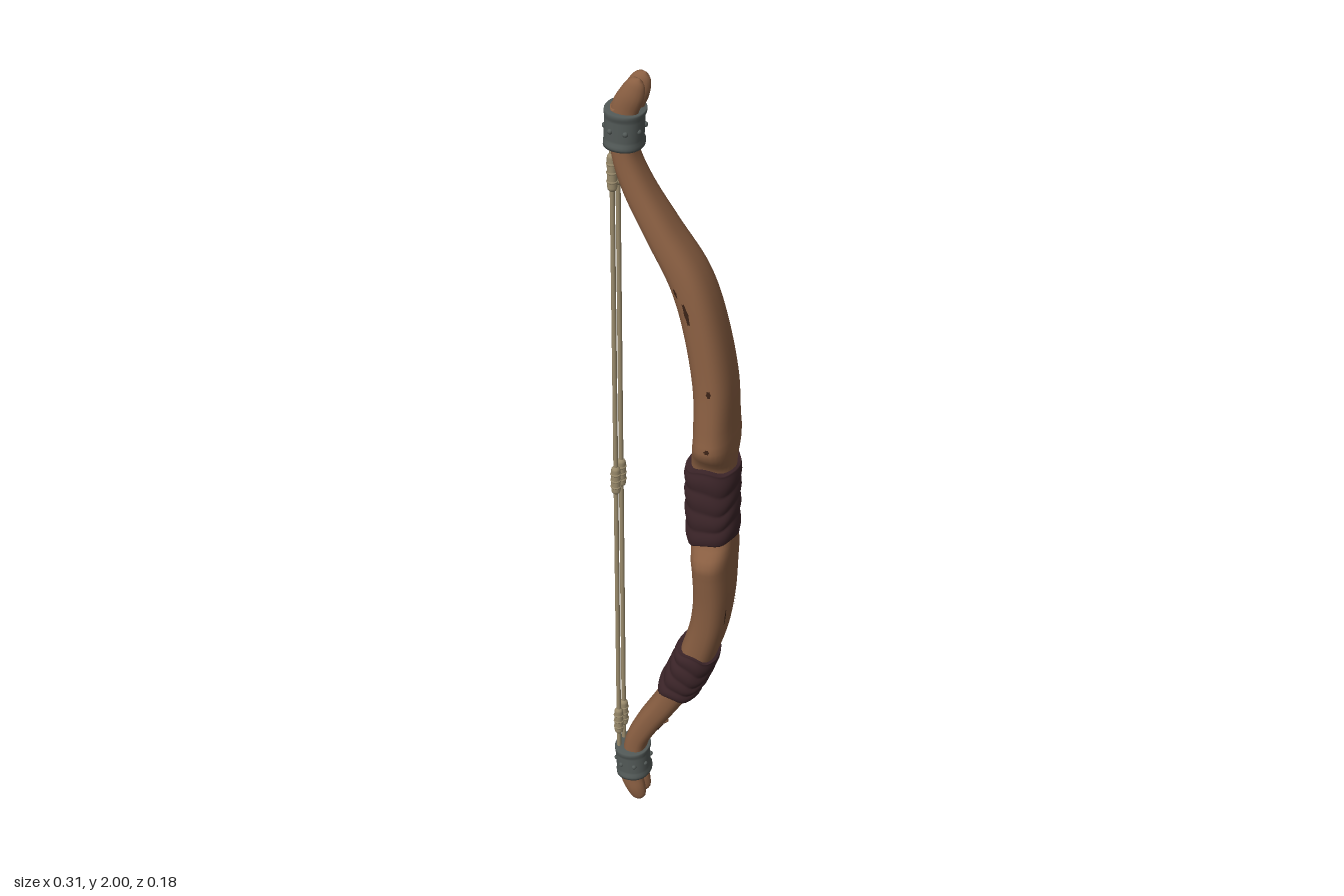
import * as THREE from 'three';

const mat = (name, color, side = THREE.FrontSide) => {
  const m = new THREE.MeshStandardMaterial({ color, side });
  m.name = name;
  return m;
};

// Smooth interpolation of rows [y, x, halfDepth, halfWidth], keyed by y
function profile(rows) {
  const slope = (i, k) => {
    const a = rows[Math.max(i - 1, 0)], b = rows[Math.min(i + 1, rows.length - 1)];
    return (b[k] - a[k]) / (b[0] - a[0]);
  };
  return (y) => {
    let i = 0;
    while (i < rows.length - 2 && y > rows[i + 1][0]) i++;
    const p = rows[i], q = rows[i + 1], h = q[0] - p[0];
    const t = Math.min(Math.max((y - p[0]) / h, 0), 1);
    const t2 = t * t, t3 = t2 * t;
    return [1, 2, 3].map((k) => (2 * t3 - 3 * t2 + 1) * p[k] + (t3 - 2 * t2 + t) * h * slope(i, k)
      + (3 * t2 - 2 * t3) * q[k] + (t3 - t2) * h * slope(i + 1, k));
  };
}

// Point on the rounded section of a profile; angle 0 looks to +x, PI/2 to +z
function surfacePoint(at, y, angle, grow = 0, power = 2.5) {
  const [x, a, b] = at(y);
  const e = 0.005;
  const t = new THREE.Vector2(at(y + e)[0] - at(y - e)[0], 2 * e).normalize();
  const f = (v) => Math.sign(v) * Math.pow(Math.abs(v), 2 / power);
  const r = (Math.max(a, 0) + grow) * f(Math.cos(angle));
  return new THREE.Vector3(x + t.y * r, y - t.x * r, (Math.max(b, 0) + grow) * f(Math.sin(angle)));
}

// Closed tube through rings of points, capped at both ends
function loft(rings, sides, point) {
  const pos = [], idx = [];
  const ends = [new THREE.Vector3(), new THREE.Vector3()];
  for (let i = 0; i <= rings; i++) {
    for (let j = 0; j < sides; j++) {
      const p = point(i / rings, (j / sides) * Math.PI * 2);
      pos.push(p.x, p.y, p.z);
      if (i === 0) ends[0].addScaledVector(p, 1 / sides);
      if (i === rings) ends[1].addScaledVector(p, 1 / sides);
    }
  }
  for (let i = 0; i < rings; i++) {
    for (let j = 0; j < sides; j++) {
      const k = (j + 1) % sides, a = i * sides, c = a + sides;
      idx.push(a + j, c + j, a + k, a + k, c + j, c + k);
    }
  }
  const base = pos.length / 3, last = rings * sides;
  ends.forEach((p) => pos.push(p.x, p.y, p.z));
  for (let j = 0; j < sides; j++) {
    const k = (j + 1) % sides;
    idx.push(base, j, k, base + 1, last + k, last + j);
  }
  const g = new THREE.BufferGeometry();
  g.setAttribute('position', new THREE.Float32BufferAttribute(pos, 3));
  g.setIndex(idx);
  g.computeVertexNormals();
  return g;
}

export function createModel() {
  const wood = mat('wood', 0x8a5f42);
  const leather = mat('dark leather', 0x3c2529);
  const metal = mat('grey metal', 0x525957);
  const cord = mat('cord', 0x9a8b6c);
  const scar = mat('dark wood', 0x3a2216, THREE.DoubleSide);

  const bow = new THREE.Group();
  bow.name = 'bow';
  const add = (name, geometry, material, parent = bow) => {
    const m = new THREE.Mesh(geometry, material);
    m.name = name;
    parent.add(m);
    return m;
  };

  // Curved wooden body with a narrowed grip
  const limb = profile([
    [0.07, -0.112, 0.027, 0.035], [0.18, -0.103, 0.028, 0.034], [0.25, -0.072, 0.031, 0.036],
    [0.35, -0.014, 0.034, 0.043], [0.47, 0.042, 0.041, 0.054], [0.6, 0.084, 0.043, 0.063],
    [0.7, 0.098, 0.044, 0.072], [0.8, 0.099, 0.046, 0.085], [0.835, 0.098, 0.048, 0.087],
    [0.885, 0.094, 0.05, 0.052], [0.98, 0.091, 0.05, 0.05], [1.085, 0.094, 0.05, 0.052],
    [1.14, 0.099, 0.047, 0.087], [1.18, 0.099, 0.045, 0.083], [1.3, 0.094, 0.045, 0.071],
    [1.45, 0.066, 0.044, 0.063], [1.55, 0.032, 0.042, 0.058], [1.65, -0.028, 0.036, 0.05],
    [1.75, -0.085, 0.031, 0.041], [1.83, -0.113, 0.027, 0.036], [1.93, -0.113, 0.027, 0.035],
  ]);
  add('body', loft(110, 28, (t, a) => surfacePoint(limb, 0.07 + 1.86 * t, a)), wood);

  // Forked tips: two rounded lobes at each end
  const tips = {
    upperTip: [[1.88, -0.115, 0.028, 0.019], [1.93, -0.104, 0.03, 0.02], [1.96, -0.09, 0.028, 0.02],
      [1.985, -0.08, 0.021, 0.015], [1.995, -0.075, 0.013, 0.01], [2, -0.072, 0.001, 0.001]],
    lowerTip: [[0, -0.088, 0.001, 0.001], [0.006, -0.09, 0.013, 0.01], [0.016, -0.093, 0.02, 0.015],
      [0.04, -0.101, 0.026, 0.02], [0.07, -0.11, 0.029, 0.02], [0.12, -0.115, 0.028, 0.019]],
  };
  for (const [name, rows] of Object.entries(tips)) {
    const at = profile(rows), y0 = rows[0][0], y1 = rows[5][0];
    for (const s of [-1, 1]) {
      const lobe = loft(24, 16, (t, a) => surfacePoint(at, y0 + (y1 - y0) * t, a, 0, 2));
      add(name, lobe, wood).position.z = s * 0.018;
    }
  }

  // Leather wraps: ridged turns with slightly uneven edges
  const wrap = (name, y0, y1, rows, turns) => {
    const at = profile(rows);
    add(name, loft(48, 32, (t, a) => {
      const ridge = 0.004 * Math.abs(Math.sin(Math.PI * (t * turns + 0.12 * Math.sin(a))));
      const edge = 0.006 * Math.sin(2 * a + 5 * t) + 0.003 * Math.sin(5 * a);
      return surfacePoint(at, y0 + (y1 - y0) * t + edge, a, ridge, 2.4);
    }), leather);
  };
  wrap('gripWrap', 0.882, 1.08, [[0.85, 0.094, 0.056, 0.067], [0.98, 0.091, 0.058, 0.067],
    [1.1, 0.091, 0.059, 0.067]], 4);
  wrap('lowerWrap', 0.392, 0.532, [[0.37, -0.002, 0.047, 0.058], [0.46, 0.038, 0.05, 0.064],
    [0.56, 0.073, 0.049, 0.064]], 4);

  // Metal bands near the tips, with a rolled rim and rivets
  for (const [name, y0, lean] of [['upperBand', 1.84, 0.05], ['lowerBand', 0.082, -0.05]]) {
    const group = new THREE.Group();
    group.name = name;
    bow.add(group);
    const at = profile([[y0 - 0.02, -0.112 - lean * 0.06, 0.04, 0.046], [y0 + 0.042, -0.112, 0.041, 0.046],
      [y0 + 0.11, -0.112 + lean * 0.06, 0.04, 0.046]]);
    add('bandRing', loft(16, 28, (t, a) => surfacePoint(at, y0 + 0.083 * t, a,
      t < 0.15 || t > 0.85 ? 0.003 : 0.0005 + 0.001 * Math.sin(3 * a), 2.2), metal), metal, group);
    for (let i = 0; i < 8; i++) {
      const rivet = add('rivet', new THREE.SphereGeometry(0.006, 10, 8), metal, group);
      rivet.position.copy(surfacePoint(at, y0 + 0.042, ((i + 0.5) / 8) * Math.PI * 2, 0, 2.2));
    }
  }

  // Twin bowstring with bound sections
  const stringX = (y) => -0.145 + 0.005 * y;
  const rod = (name, y0, y1, radius, z) => {
    const path = new THREE.LineCurve3(new THREE.Vector3(stringX(y0), y0, z), new THREE.Vector3(stringX(y1), y1, z));
    add(name, new THREE.TubeGeometry(path, 1, radius, 10), cord);
  };
  for (const z of [-0.017, 0.017]) {
    rod('string', 0.12, 1.88, 0.0055, z);
    for (const [y, half] of [[0.245, 0.037], [0.98, 0.035], [1.775, 0.042]]) {
      const binding = add('stringBinding', new THREE.CapsuleGeometry(0.011, 2 * half - 0.014, 3, 12), cord);
      binding.position.set(stringX(y), y, z);
      for (const k of [-0.5, 0, 0.5]) {
        const turn = add('bindingTurn', new THREE.TorusGeometry(0.0105, 0.0025, 6, 14), cord);
        turn.rotation.x = Math.PI / 2;
        turn.position.set(stringX(y), y + k * half, z);
      }
    }
  }

  // Thin dark scars lying on the wood: [y, angle, half length, half angle]
  const scars = [
    [1.49, 1.7, 0.03, 0.1], [1.54, 1.9, 0.012, 0.08], [1.3, 1.45, 0.01, 0.1], [1.16, 1.5, 0.006, 0.1],
    [1.48, -1.75, 0.03, 0.1], [1.3, -1.45, 0.01, 0.1], [0.67, 0.45, 0.025, 0.04],
    [0.67, -0.45, 0.025, 0.04], [0.27, 0, 0.012, 0.8],
  ];
  for (const [y, angle, len, wide] of scars) {
    const pts = [surfacePoint(limb, y, angle, 0.002)], idx = [];
    for (let i = 0; i < 12; i++) {
      const w = (i / 12) * Math.PI * 2, r = i % 2 ? 0.75 : 1;
      pts.push(surfacePoint(limb, y + len * r * Math.sin(w), angle + wide * r * Math.cos(w), 0.002));
      idx.push(0, 1 + ((i + 1) % 12), 1 + i);
    }
    const g = new THREE.BufferGeometry().setFromPoints(pts);
    g.setIndex(idx);
    g.computeVertexNormals();
    add('scar', g, scar);
  }

  // Small broken twig on the lower limb
  const twig = add('twigStub', new THREE.CylinderGeometry(0.006, 0.012, 0.03, 8), wood);
  twig.position.set(-0.035, 0.262, 0);
  twig.rotation.z = -1.1;

  return bow;
}
